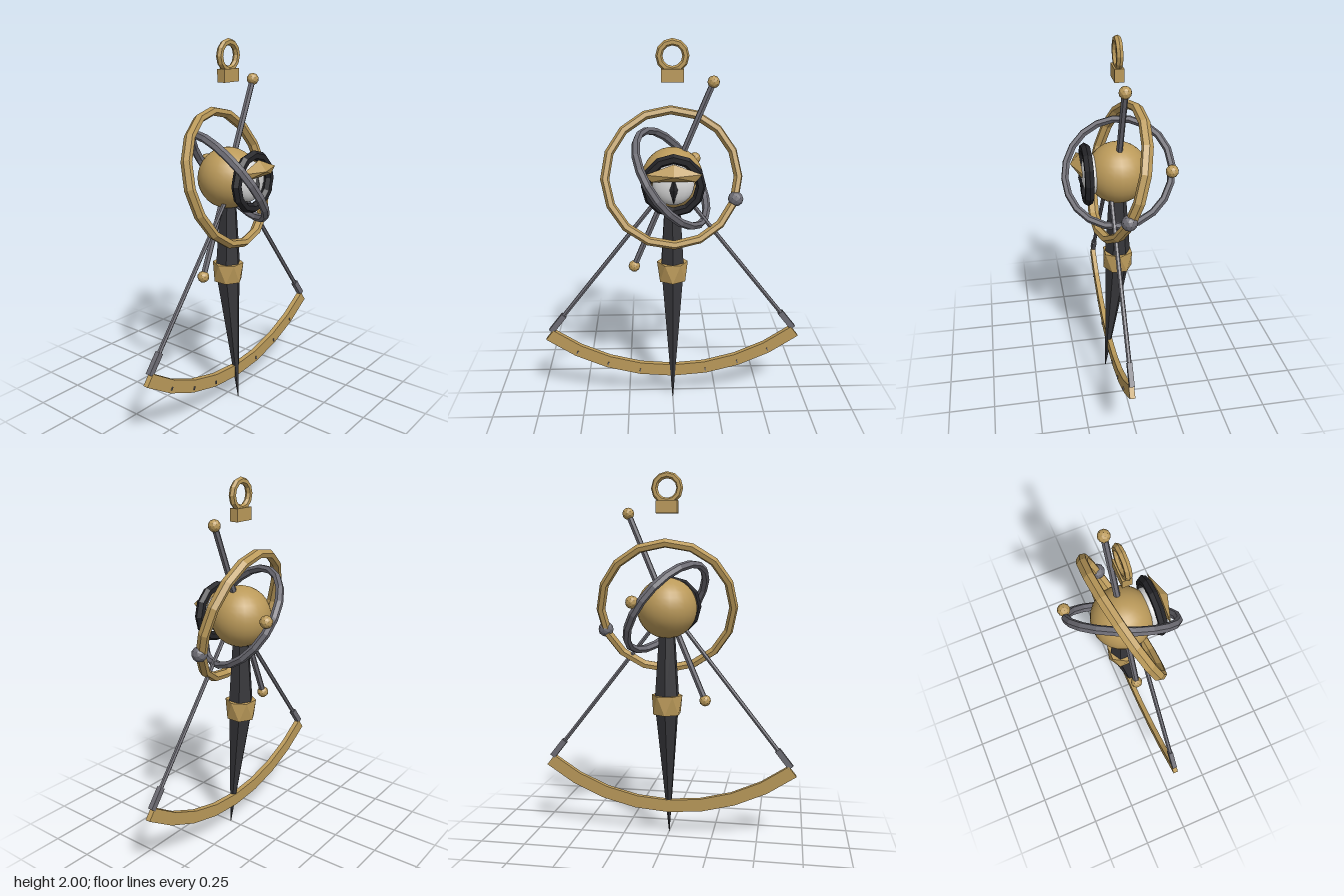
import * as THREE from 'three';
import { ConvexGeometry } from 'three/addons/geometries/ConvexGeometry.js';

const V = (x, y, z) => new THREE.Vector3(x, y, z);

export function createModel() {
  const model = new THREE.Group();
  const material = (name, color, flatShading = true) => {
    const m = new THREE.MeshStandardMaterial({ color, flatShading });
    m.name = name;
    return m;
  };
  const gold = material('gold', 0xbb9a5a);
  const steel = material('steel', 0x6d6c74);
  const iron = material('iron', 0x36363a);
  const black = material('black', 0x232327);
  const ivory = material('ivory', 0xd8d8d8);
  const smooth = (m) => { const c = m.clone(); c.flatShading = false; return c; };

  const add = (name, geometry, mat, x = 0, y = 0, z = 0) => {
    const mesh = new THREE.Mesh(geometry, mat);
    mesh.name = name;
    mesh.position.set(x, y, z);
    model.add(mesh);
    return mesh;
  };
  // Tapered bar between two points
  const bar = (name, a, b, ra, rb, mat, sides = 6) => {
    const mesh = add(name, new THREE.CylinderGeometry(rb, ra, a.distanceTo(b), sides), mat);
    mesh.position.copy(a).add(b).multiplyScalar(0.5);
    mesh.quaternion.setFromUnitVectors(V(0, 1, 0), b.clone().sub(a).normalize());
    return mesh;
  };
  // Ring facing along a normal
  const ring = (name, R, r, sides, segments, mat, pos, normal) => {
    const mesh = add(name, new THREE.TorusGeometry(R, r, sides, segments), mat, ...pos);
    mesh.quaternion.setFromUnitVectors(V(0, 0, 1), normal.normalize());
    return mesh;
  };
  const bead = (name, r, mat, x, y, z, detail = 1) =>
    add(name, new THREE.IcosahedronGeometry(r, detail), mat, x, y, z);

  const cy = 1.285;

  // Central globe and its two tilted rings
  add('globe', new THREE.SphereGeometry(0.163, 24, 16), smooth(gold), 0, cy, 0);
  ring('outerRing', 0.358, 0.024, 6, 16, gold, [0, cy, 0], V(0.13, 0.3, 1)).scale.z = 1.3;
  ring('innerRing', 0.287, 0.02, 6, 20, steel, [0, cy, 0], V(0.74, 0.57, 0.34)).scale.z = 1.2;
  bead('outerRingBead', 0.042, steel, 0.34, 1.165, 0);
  bead('innerRingBead', 0.034, gold, 0.135, 1.33, -0.26);

  // Slanted axis with knobs
  bar('axisRod', V(-0.21, 0.785, 0), V(0.21, 1.785, 0), 0.017, 0.017, steel);
  for (const s of [-1, 1]) bead('axisKnob', 0.032, gold, 0.21 * s, cy + 0.5 * s, 0);

  // Eye: rim, eyeball, slit and brow
  ring('eyeRim', 0.14, 0.026, 6, 12, black, [0, cy, 0.165], V(0, 0, 1));
  add('eyeball', new THREE.SphereGeometry(0.108, 20, 14), smooth(ivory), 0, cy, 0.14).scale.z = 0.5;
  add('pupil', new THREE.OctahedronGeometry(1), black, 0, 1.27, 0.19).scale.set(0.024, 0.075, 0.018);
  add('brow', new ConvexGeometry([
    V(-0.145, 1.352, 0.2), V(0.145, 1.352, 0.2), V(0, 1.405, 0.2), V(0, 1.35, 0.248),
    V(-0.11, 1.315, 0.2), V(0.11, 1.315, 0.2),
  ]), gold);

  // Pointer with a faceted collar
  bar('pointerUpper', V(0, 0.8, 0), V(0, 1.17, 0), 0.07, 0.045, iron);
  bar('pointerBlade', V(0, 0, 0.075), V(0, 0.74, 0), 0.002, 0.068, iron);
  const collar = [];
  for (let i = 0; i < 6; i++) {
    const a = (i / 6) * Math.PI * 2, b = a + Math.PI / 6;
    collar.push(V(Math.cos(a) * 0.085, 0.81, Math.sin(a) * 0.085));
    collar.push(V(Math.cos(b) * 0.08, 0.705, Math.sin(b) * 0.08));
  }
  add('collar', new ConvexGeometry(collar), gold);

  // Curved scale centred on the globe
  const half = 0.66, steps = 8;
  const at = (r, a) => new THREE.Vector2(Math.sin(a) * r, cy - Math.cos(a) * r);
  const outline = [];
  for (let i = 0; i <= steps; i++) outline.push(at(1.158, -half + (2 * half * i) / steps));
  for (let i = steps; i >= 0; i--) outline.push(at(1.088, -half + (2 * half * i) / steps));
  add('scaleArc', new THREE.ExtrudeGeometry(new THREE.Shape(outline), { depth: 0.028, bevelEnabled: false }), gold, 0, 0, 0.034);
  for (let i = 1; i < steps; i++) {
    const a = -half + (2 * half * i) / steps, p = at(1.133, a);
    add('scaleTick', new THREE.BoxGeometry(0.006, 0.018, 0.008), steel, p.x, p.y, 0.063).rotation.z = a;
  }

  // Arms carrying the scale
  for (const s of [-1, 1]) {
    const point = (r, z) => { const p = at(r, s * 0.665); return V(p.x, p.y, z); };
    bar('scaleArm', point(1.08, 0.047), point(0.1, 0.047), 0.012, 0.012, steel);
    const mid = point(1.04, 0.047);
    add('armSleeve', new THREE.BoxGeometry(0.032, 0.12, 0.026), steel, mid.x, mid.y, mid.z).rotation.z = s * 0.665;
  }

  // Hanger block and loop
  add('hangerBlock', new THREE.BoxGeometry(0.116, 0.066, 0.048), gold, 0, 1.818, 0);
  ring('hangerLoop', 0.068, 0.018, 6, 12, gold, [0, 1.915, 0], V(0, 0, 1));

  return model;
}
